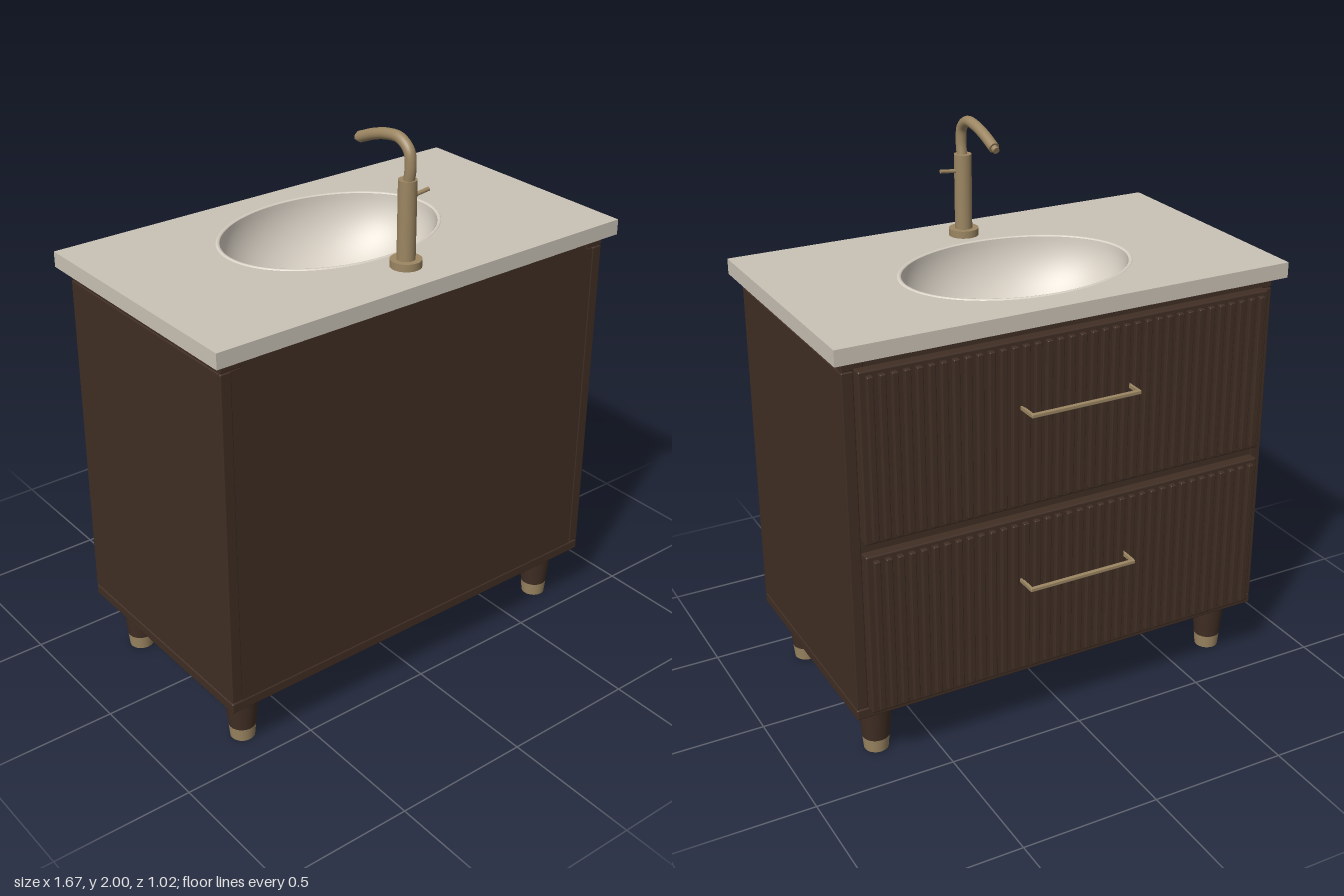
import * as THREE from 'three';
import { RoundedBoxGeometry } from 'three/addons/geometries/RoundedBoxGeometry.js';

const material = (name, color, side = THREE.FrontSide) => {
  const m = new THREE.MeshStandardMaterial({ color, side });
  m.name = name;
  return m;
};

export function createModel() {
  const wood = material('dark wood', 0x402e24);
  const stone = material('stone', 0xcac2b5);
  const ceramic = material('ceramic', 0xd9d1c5, THREE.DoubleSide);
  const brass = material('brushed brass', 0x9c8662);
  const dark = material('drain holes', 0x1c1814);

  const root = new THREE.Group();
  root.name = 'vanity';

  const add = (parent, name, geometry, mat, x = 0, y = 0, z = 0) => {
    const mesh = new THREE.Mesh(geometry, mat);
    mesh.name = name;
    mesh.position.set(x, y, z);
    parent.add(mesh);
    return mesh;
  };
  const group = (name, parent = root) => {
    const g = new THREE.Group();
    g.name = name;
    parent.add(g);
    return g;
  };
  // Box given by its low and high corners
  const box = (parent, name, mat, x0, x1, y0, y1, z0, z1, r = 0) => {
    const size = [x1 - x0, y1 - y0, z1 - z0];
    const geo = r ? new RoundedBoxGeometry(...size, 2, r) : new THREE.BoxGeometry(...size);
    return add(parent, name, geo, mat, (x0 + x1) / 2, (y0 + y1) / 2, (z0 + z1) / 2);
  };

  // Cabinet carcass, open inside to make room for the bowl
  const cabinet = group('cabinet');
  box(cabinet, 'baseBoard', wood, -0.8, 0.8, 0.205, 0.243, -0.397, 0.475, 0.005);
  for (const s of [-1, 1]) {
    box(cabinet, 'sidePanel', wood, s * 0.78 - 0.02, s * 0.78 + 0.02, 0.247, 1.462, -0.397, 0.475, 0.004);
    box(cabinet, 'sideRail', wood, s * 0.763 - 0.037, s * 0.763 + 0.037, 1.465, 1.505, -0.397, 0.475, 0.004);
  }
  box(cabinet, 'wallPanel', wood, -0.76, 0.76, 0.24, 1.462, 0.44, 0.472);
  box(cabinet, 'wallRail', wood, -0.726, 0.726, 1.46, 1.505, 0.435, 0.473);
  box(cabinet, 'drawerRail', wood, -0.726, 0.726, 1.46, 1.505, -0.397, -0.36);
  box(cabinet, 'drawerBacking', wood, -0.762, 0.762, 0.24, 1.47, -0.39, -0.36);

  // Two drawers with vertical slats and bar handles, facing -z
  const slatCount = 36;
  for (const [low, high, handleY] of [[0.243, 0.835, 0.6], [0.877, 1.472, 1.238]]) {
    const drawer = group('drawer');
    box(drawer, 'drawerFront', wood, -0.76, 0.76, low, high, -0.434, -0.392, 0.006);
    for (let i = 0; i < slatCount; i++) {
      const x = -0.727 + (1.454 * i) / (slatCount - 1);
      box(drawer, 'slat', wood, x - 0.011, x + 0.011, low + 0.015, high - 0.015, -0.451, -0.43, 0.004);
    }
    const handle = group('handle', drawer);
    box(handle, 'handleBar', brass, -0.205, 0.205, handleY - 0.007, handleY + 0.007, -0.514, -0.5, 0.003);
    for (const s of [-1, 1])
      box(handle, 'handlePost', brass, s * 0.2 - 0.005, s * 0.2 + 0.005, handleY - 0.006, handleY + 0.006, -0.505, -0.43);
  }

  // Tapered legs with brass tips
  for (const x of [-0.692, 0.692]) {
    for (const z of [-0.287, 0.366]) {
      const leg = group('leg');
      add(leg, 'legTaper', new THREE.CylinderGeometry(0.063, 0.048, 0.157, 32), wood, x, 0.1285, z);
      add(leg, 'legTip', new THREE.CylinderGeometry(0.048, 0.043, 0.05, 32), brass, x, 0.025, z);
    }
  }

  // Countertop with an elliptical cutout
  const sinkZ = -0.03, rx = 0.42, rz = 0.304;
  const slab = new THREE.Shape([[-0.835, -0.511], [0.835, -0.511], [0.835, 0.436], [-0.835, 0.436]]
    .map(([x, y]) => new THREE.Vector2(x, y)));
  const cutout = new THREE.Path();
  cutout.absellipse(0, -sinkZ, rx - 0.006, rz - 0.005, 0, Math.PI * 2, true);
  slab.holes.push(cutout);
  const slabGeo = new THREE.ExtrudeGeometry(slab, { depth: 0.055, bevelEnabled: false, curveSegments: 64 });
  slabGeo.rotateX(-Math.PI / 2);
  add(root, 'countertop', slabGeo, stone, 0, 1.505, 0);

  // Bowl: lathe profiles squeezed into an ellipse
  const sink = group('sink');
  const oval = (name, points) => {
    const geo = new THREE.LatheGeometry(points.map(([x, y]) => new THREE.Vector2(x, y)), 96);
    geo.scale(1, 1, rz / rx);
    add(sink, name, geo, ceramic, 0, 1.56, sinkZ);
  };
  const depth = 0.29;
  const bowl = [];
  for (let i = 0; i <= 24; i++) {
    const a = (i / 24) * Math.PI / 2;
    bowl.push([0.407 * Math.sin(a), -depth * Math.cos(a)]);
  }
  oval('bowl', bowl);
  oval('rim', [[0.407, -0.002], [0.41, 0.003], [0.418, 0.004], [0.422, 0]]);

  // Drain with a ring of slots
  const drain = group('drain', sink);
  const drainY = 1.56 - depth + 0.004;
  add(drain, 'drainPlate', new THREE.CylinderGeometry(0.04, 0.04, 0.008, 32), brass, 0, drainY, sinkZ);
  for (let i = 0; i < 8; i++) {
    const a = (i / 8) * Math.PI * 2;
    const slot = add(drain, 'drainSlot', new THREE.BoxGeometry(0.011, 0.002, 0.006), dark,
      0.015 * Math.cos(a), drainY + 0.0045, sinkZ + 0.015 * Math.sin(a));
    slot.rotation.y = -a;
  }

  // Faucet: flange, column, curved spout, nozzle and side lever
  const faucet = group('faucet');
  faucet.position.set(0, 0, 0.366);
  add(faucet, 'flange', new THREE.CylinderGeometry(0.053, 0.053, 0.026, 40), brass, 0, 1.573, 0);
  add(faucet, 'column', new THREE.CylinderGeometry(0.031, 0.031, 0.27, 32), brass, 0, 1.72, 0);
  const path = new THREE.CatmullRomCurve3([[1.84, 0.004], [1.9, 0.012], [1.95, 0.003], [1.979, -0.04],
    [1.977, -0.1], [1.96, -0.165], [1.932, -0.235]].map(([y, z]) => new THREE.Vector3(0, y, z)));
  add(faucet, 'spout', new THREE.TubeGeometry(path, 40, 0.019, 20), brass);
  const end = path.getPoint(1), dir = path.getTangent(1);
  const up = new THREE.Vector3(0, 1, 0);
  const cap = add(faucet, 'spoutEnd', new THREE.CylinderGeometry(0.019, 0.019, 0.006, 20), brass, ...end);
  cap.quaternion.setFromUnitVectors(up, dir);
  const tip = end.clone().addScaledVector(dir, 0.008);
  const nozzle = add(faucet, 'nozzle', new THREE.CylinderGeometry(0.012, 0.012, 0.024, 20), brass, ...tip);
  nozzle.quaternion.copy(cap.quaternion);
  const lever = add(faucet, 'lever', new THREE.CylinderGeometry(0.007, 0.007, 0.066, 16), brass, 0.055, 1.799, 0);
  lever.rotation.z = -Math.PI / 2 + 0.12;

  return root;
}
